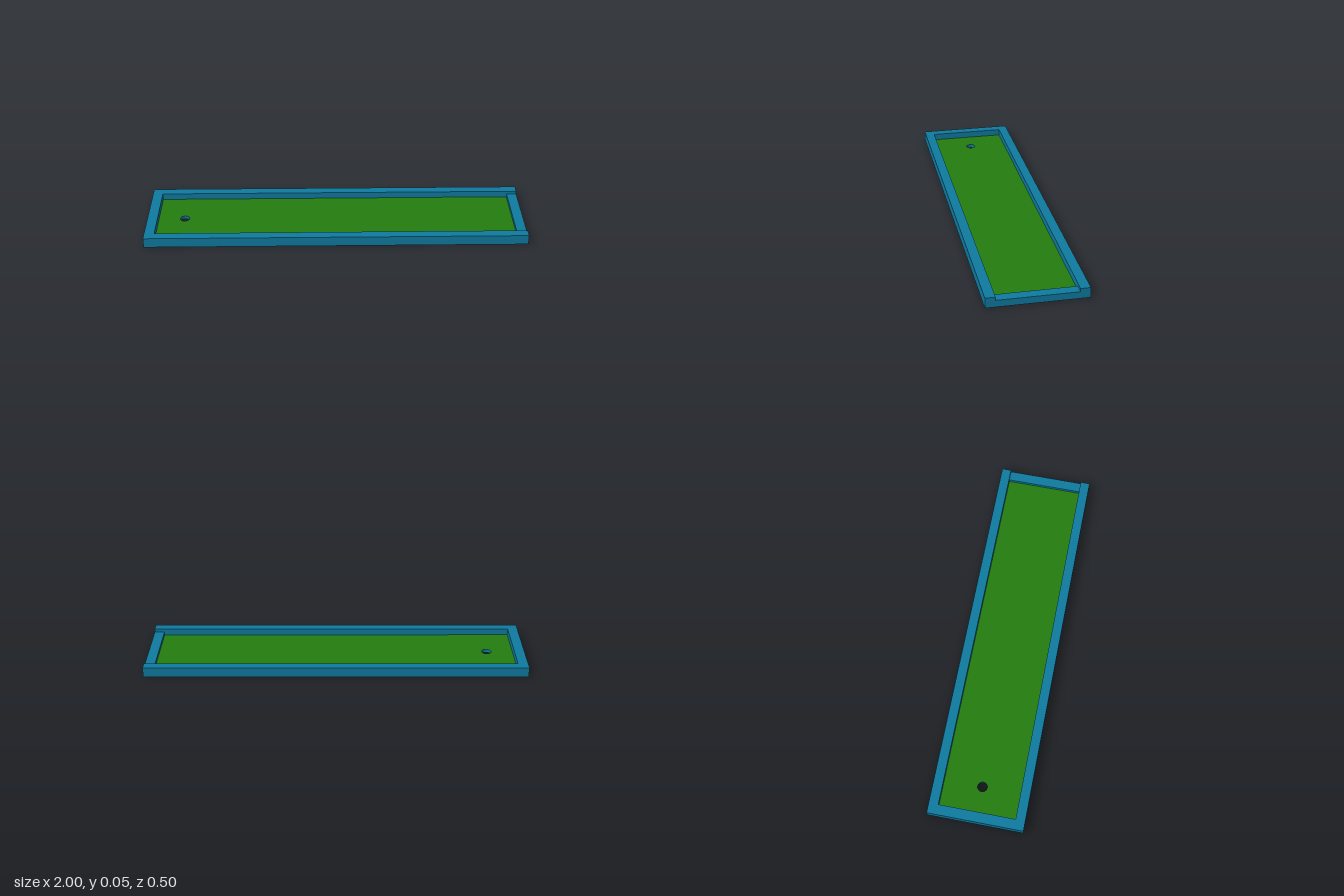
import * as THREE from 'three';

export function createModel() {
  const model = new THREE.Group();
  model.name = 'puttingLane';

  const blue = new THREE.MeshStandardMaterial({ name: 'blue frame', color: 0x0f7aa0 });
  const green = new THREE.MeshStandardMaterial({ name: 'green turf', color: 0x237c0f });

  const wallHeight = 0.053, sillHeight = 0.036, turfHeight = 0.018;
  const innerX = 0.947, innerZ = 0.2;

  // Box standing on the ground, given by its x and z limits
  function slab(name, x0, x1, z0, z1, height) {
    const mesh = new THREE.Mesh(new THREE.BoxGeometry(x1 - x0, height, z1 - z0), blue);
    mesh.position.set((x0 + x1) / 2, height / 2, (z0 + z1) / 2);
    mesh.name = name;
    model.add(mesh);
  }

  // Frame: two long rails, a full-height end wall and a lower entry sill
  slab('frontRail', -1, 1, innerZ, 0.25, wallHeight);
  slab('backRail', -1, 1, -0.25, -innerZ, wallHeight);
  slab('endWall', -1, -innerX, -innerZ, innerZ, wallHeight);
  slab('entrySill', innerX, 1, -innerZ, innerZ, sillHeight);

  // Turf floor with a round hole going right through, lined in the frame colour
  const floor = new THREE.Shape([
    new THREE.Vector2(-innerX, -innerZ), new THREE.Vector2(innerX, -innerZ),
    new THREE.Vector2(innerX, innerZ), new THREE.Vector2(-innerX, innerZ),
  ]);
  floor.holes.push(new THREE.Path().absarc(-0.808, 0, 0.025, 0, Math.PI * 2, true));
  const floorGeometry = new THREE.ExtrudeGeometry(floor, {
    depth: turfHeight, bevelEnabled: false, curveSegments: 16,
  });
  floorGeometry.rotateX(-Math.PI / 2);
  const turf = new THREE.Mesh(floorGeometry, [green, blue]);
  turf.name = 'turfFloor';
  model.add(turf);

  return model;
}
